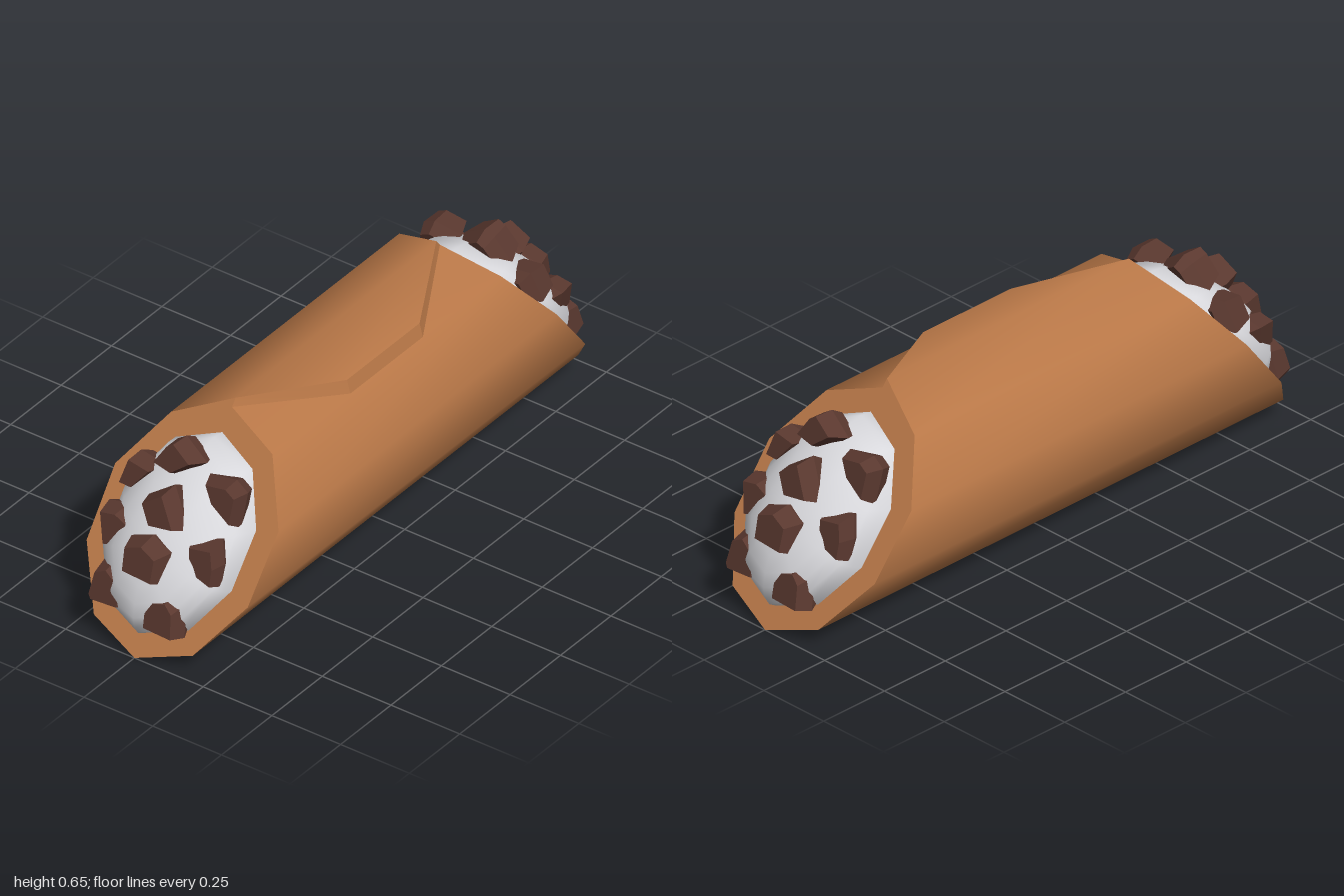
import * as THREE from 'three';
import { ConvexGeometry } from 'three/addons/geometries/ConvexGeometry.js';

const CY = 0.312;                       // height of the tube's axis
const cutZ = (y) => 1 - 0.775 * y;      // slanted cut at each end

// Outline of the rolled sheet, clockwise from the top seam round to the overlap
const outline = [
  [0, 0.625], [0.184, 0.56], [0.297, 0.4], [0.293, 0.21], [0.18, 0.057], [0, 0],
  [-0.18, 0.057], [-0.293, 0.21], [-0.297, 0.4], [-0.185, 0.56], [0, 0.648],
];
const inner = outline.map(([x, y]) => [x * 0.76, CY + (Math.min(y, 0.625) - CY) * 0.8]);

function indexed(points, index) {
  const g = new THREE.BufferGeometry();
  g.setAttribute('position', new THREE.Float32BufferAttribute(points.flat(), 3));
  g.setIndex(index);
  g.computeVertexNormals();
  return g;
}

// Flat quads, each with its own four corners
function quads(list) {
  const index = list.flatMap((_, i) => [0, 1, 2, 0, 2, 3].map((k) => i * 4 + k));
  return indexed(list.flat(), index);
}

function addMesh(parent, name, geometry, material) {
  const m = new THREE.Mesh(geometry, material);
  m.name = name;
  parent.add(m);
}

// Smooth outer skin, ending in the tapered flap
function skinGeometry() {
  const columns = outline.map(([x, y]) => [x, y, cutZ(y)]);
  columns.push([0.172, 0.604, 0.18]);
  const points = columns.flatMap(([x, y, z]) => [[x, y, z], [x, y, -z]]);
  const index = [];
  for (let i = 0; i < columns.length - 1; i++) {
    const f = 2 * i;
    index.push(f, f + 2, f + 1, f + 1, f + 2, f + 3);
  }
  return indexed(points, index);
}

// Cut rims at both ends
function rimGeometry() {
  const list = [];
  for (let i = 0; i < outline.length - 1; i++) {
    const corners = [outline[i], inner[i], inner[i + 1], outline[i + 1]];
    list.push(corners.map(([x, y]) => [x, y, cutZ(y)]));
    list.push(corners.map(([x, y]) => [x, y, -cutZ(y)]).reverse());
  }
  return quads(list);
}

// Thickness of the flap
function flapEdgeGeometry() {
  const a = [0, 0.648, cutZ(0.648)], b = [0.172, 0.604, 0.18];
  const c = [0, 0.625, cutZ(0.625)], d = [0.184, 0.56, 0.18];
  const back = ([x, y, z]) => [x, y, -z];
  return quads([
    [a, c, d, b],
    [b, d, back(d), back(b)],
    [back(a), back(b), back(d), back(c)],
  ]);
}

// Domed cream bulging out of the cut
function creamGeometry() {
  const rings = 7, n = 10, height = 0.155;
  const points = [], index = [];
  for (let r = 0; r <= rings; r++) {
    const t = (r / rings) * Math.PI / 2;
    const s = Math.cos(t), h = height * Math.sin(t);
    for (let i = 0; i < n; i++) {
      const y = CY + (inner[i][1] - CY) * s;
      points.push([inner[i][0] * s, y + 0.3 * h, cutZ(y) + h]);
    }
  }
  for (let r = 0; r < rings; r++) {
    for (let i = 0; i < n; i++) {
      const j = (i + 1) % n, p = r * n;
      index.push(p + i, p + n + i, p + j);
      if (r < rings - 1) index.push(p + j, p + n + i, p + n + j);
    }
  }
  return indexed(points, index);
}

// Chunks: depth z, then the outline in x, y
const chunks = [
  [0.71, [[-0.04, 0.605], [0.045, 0.55], [-0.035, 0.487], [-0.12, 0.503], [-0.07, 0.585]]],
  [0.73, [[0.065, 0.525], [0.16, 0.54], [0.205, 0.515], [0.2, 0.405], [0.105, 0.46]]],
  [0.725, [[-0.195, 0.5], [-0.095, 0.485], [-0.165, 0.395], [-0.222, 0.397]]],
  [0.84, [[0.01, 0.52], [0.082, 0.4], [-0.03, 0.383], [-0.075, 0.46]]],
  [0.84, [[-0.225, 0.375], [-0.155, 0.388], [-0.1, 0.365], [-0.1, 0.33], [-0.14, 0.265], [-0.19, 0.253]]],
  [0.93, [[0, 0.388], [0.07, 0.355], [0.068, 0.257], [-0.07, 0.265], [-0.075, 0.36]]],
  [0.845, [[0.09, 0.382], [0.19, 0.4], [0.21, 0.33], [0.21, 0.26], [0.105, 0.29]]],
  [0.93, [[-0.125, 0.26], [-0.045, 0.205], [-0.05, 0.13], [-0.175, 0.122], [-0.187, 0.14], [-0.175, 0.235]]],
  [0.945, [[0.01, 0.215], [0.1, 0.237], [0.135, 0.205], [0.148, 0.105], [0.015, 0.11]]],
];

function chunkGeometry([z, shape]) {
  const cx = shape.reduce((sum, p) => sum + p[0], 0) / shape.length;
  const cy = shape.reduce((sum, p) => sum + p[1], 0) / shape.length;
  const points = [];
  for (const [scale, dz] of [[0.78, -0.055], [1, -0.01], [0.74, 0.05]]) {
    for (const [x, y] of shape) {
      // Faces lean outwards, following the dome
      points.push(new THREE.Vector3(
        cx + (x - cx) * scale + cx * dz * 0.8,
        cy + (y - cy) * scale + (cy - 0.2) * dz * 0.8,
        z + dz - (y - cy) * 0.25 * scale));
    }
  }
  return new ConvexGeometry(points);
}

export function createModel() {
  const pastry = new THREE.MeshStandardMaterial({ color: 0xb87747, side: THREE.DoubleSide });
  pastry.name = 'pastry';
  const cream = new THREE.MeshStandardMaterial({ color: 0xd8d8dc });
  cream.name = 'cream';
  const chocolate = new THREE.MeshStandardMaterial({ color: 0x5a382f });
  chocolate.name = 'chocolate';

  const model = new THREE.Group();
  model.name = 'filledPastryRoll';

  const shell = new THREE.Group();
  shell.name = 'shell';
  addMesh(shell, 'shellSkin', skinGeometry(), pastry);
  addMesh(shell, 'shellRims', rimGeometry(), pastry);
  addMesh(shell, 'flapEdge', flapEdgeGeometry(), pastry);
  model.add(shell);

  // The same filling at each end, turned half round for the back
  const creamGeo = creamGeometry();
  const chunkGeos = chunks.map(chunkGeometry);
  for (const [name, turn] of [['frontFilling', 0], ['backFilling', Math.PI]]) {
    const filling = new THREE.Group();
    filling.name = name;
    filling.rotation.y = turn;
    addMesh(filling, 'creamDome', creamGeo, cream);
    chunkGeos.forEach((g, i) => addMesh(filling, `chocolateChunk${i + 1}`, g, chocolate));
    model.add(filling);
  }
  return model;
}
